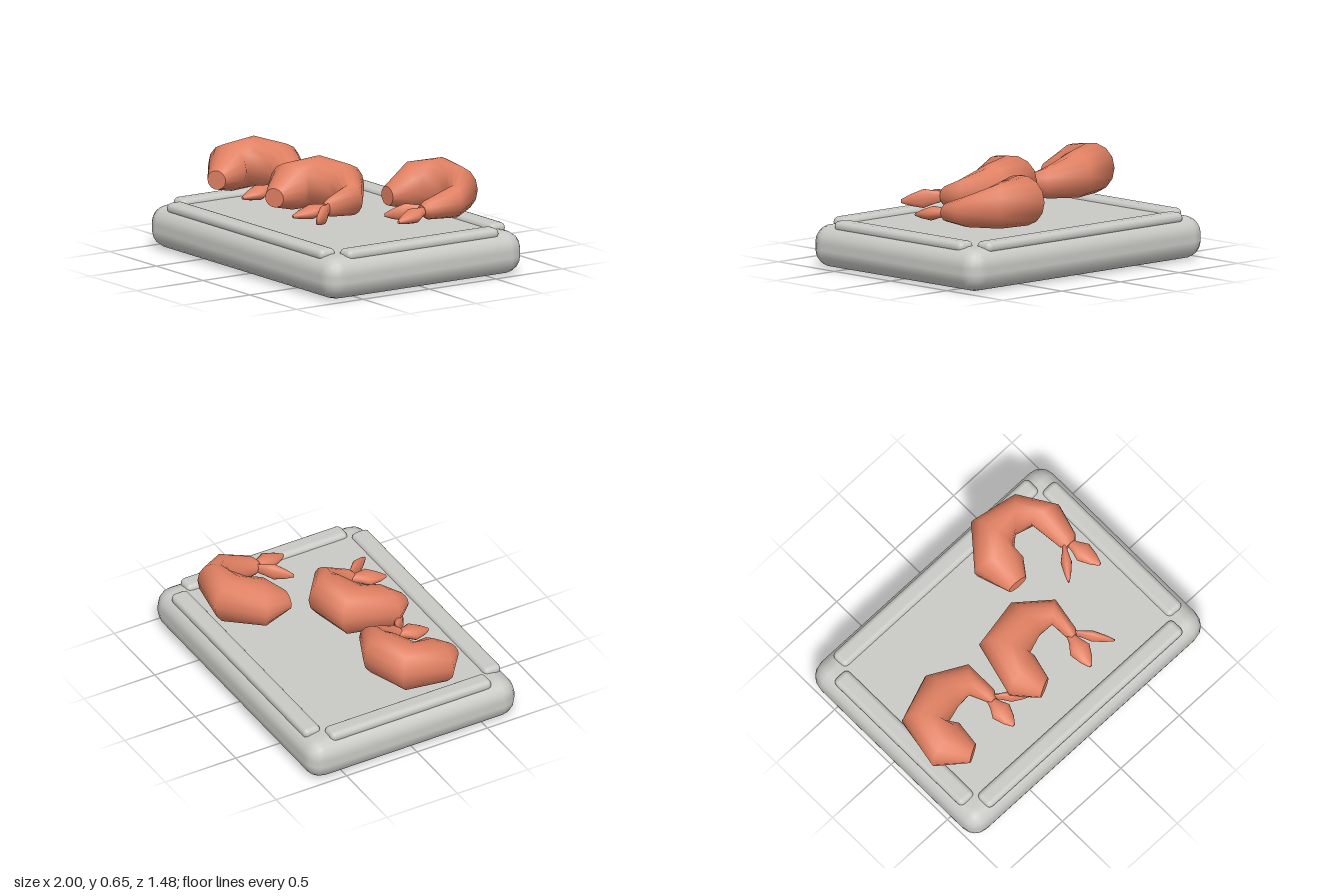
import * as THREE from 'three';
import { RoundedBoxGeometry } from 'three/addons/geometries/RoundedBoxGeometry.js';

const SIDES = 14;

// Skin elliptical rings; each ring is [outerX, outerZ, innerX, innerZ, bottomY, topY]
function loft(rings) {
  const point = r => {
    const x = (r[0] + r[2]) / 2, z = (r[1] + r[3]) / 2, y = (r[4] + r[5]) / 2;
    return [x, z, x, z, y, y];
  };
  const first = rings[0], last = rings[rings.length - 1];
  // doubled end rings keep the cap edges crisp
  const all = [point(first), first, ...rings, last, point(last)];
  const pos = [], index = [];
  all.forEach(([ox, oz, ix, iz, lo, hi], i) => {
    for (let j = 0; j < SIDES; j++) {
      const a = (j / SIDES) * Math.PI * 2, c = Math.cos(a) / 2, s = Math.sin(a) / 2;
      pos.push((ox + ix) / 2 + (ox - ix) * c, (lo + hi) / 2 + (hi - lo) * s, (oz + iz) / 2 + (oz - iz) * c);
      if (i === all.length - 1) continue;
      const k = (j + 1) % SIDES, p = i * SIDES, q = p + SIDES;
      index.push(p + j, p + k, q + k, p + j, q + k, q + j);
    }
  });
  const g = new THREE.BufferGeometry();
  g.setAttribute('position', new THREE.Float32BufferAttribute(pos, 3));
  g.setIndex(index);
  g.computeVertexNormals();
  return g;
}

// Leaf-shaped tail blade between two points on the plan
function finGeometry([x0, z0, x1, z1, width, height]) {
  const dx = x1 - x0, dz = z1 - z0, len = Math.hypot(dx, dz);
  const rings = [[0, 0.3, 0.5], [0.25, 0.55, 0.7], [0.5, 1, 1], [0.8, 0.6, 0.6], [1, 0.15, 0.2]].map(([t, w, h]) => {
    const x = x0 + dx * t, z = z0 + dz * t, y = 0.42 - 0.04 * t;
    const ox = (dz / len) * w * width / 2, oz = (-dx / len) * w * width / 2;
    return [x + ox, z + oz, x - ox, z - oz, y - h * height / 2, y + h * height / 2];
  });
  return loft(rings);
}

// Bottom and top heights from the head tip to the tail root
const HEIGHTS = [[0.37, 0.49], [0.33, 0.62], [0.335, 0.65], [0.34, 0.63], [0.35, 0.55], [0.36, 0.48], [0.39, 0.45]];

// Curled bodies: outer and inner plan points of every ring, and tail blades
const SHRIMPS = [
  {
    name: 'leftShrimp',
    body: [[-0.75, 0.44, -0.64, 0.38], [-0.94, 0.30, -0.63, 0.23], [-0.88, -0.03, -0.69, 0.18], [-0.58, -0.14, -0.56, 0.14],
      [-0.32, -0.02, -0.45, 0.12], [-0.31, 0.20, -0.40, 0.21], [-0.34, 0.25, -0.39, 0.25]],
    fins: [[-0.37, 0.21, -0.375, 0.44, 0.14, 0.09], [-0.35, 0.22, -0.17, 0.37, 0.06, 0.12]],
  },
  {
    name: 'middleShrimp',
    body: [[-0.14, 0.435, -0.02, 0.38], [-0.28, 0.30, 0.01, 0.23], [-0.19, -0.06, -0.01, 0.20], [0.13, -0.12, 0.13, 0.15],
      [0.36, 0.05, 0.24, 0.14], [0.33, 0.26, 0.25, 0.25], [0.31, 0.29, 0.26, 0.29]],
    fins: [[0.28, 0.25, 0.235, 0.49, 0.14, 0.09], [0.29, 0.25, 0.46, 0.47, 0.06, 0.12]],
  },
  {
    name: 'rightShrimp',
    body: [[0.20, -0.20, 0.34, -0.19], [0.12, -0.42, 0.41, -0.29], [0.33, -0.67, 0.40, -0.36], [0.65, -0.61, 0.48, -0.43],
      [0.81, -0.38, 0.60, -0.42], [0.76, -0.19, 0.63, -0.20], [0.73, -0.16, 0.65, -0.16]],
    fins: [[0.67, -0.20, 0.52, 0.00, 0.07, 0.11], [0.69, -0.20, 0.74, 0.05, 0.13, 0.09]],
  },
];

export function createModel() {
  const model = new THREE.Group();
  const grey = new THREE.MeshStandardMaterial({ color: 0xc9c9c5 });
  grey.name = 'tray grey';
  const coral = new THREE.MeshStandardMaterial({ color: 0xe08062 });
  coral.name = 'shrimp coral';

  const add = (parent, name, geometry, material) => {
    const mesh = new THREE.Mesh(geometry, material);
    mesh.name = name;
    parent.add(mesh);
    return mesh;
  };

  // Thick padded tray
  const tray = new THREE.Group();
  tray.name = 'tray';
  model.add(tray);
  add(tray, 'trayBase', new RoundedBoxGeometry(2, 0.27, 1.48, 2, 0.115), grey).position.y = 0.135;

  // Raised rim bars along the four edges
  for (const s of [-1, 1]) {
    const long = add(tray, s > 0 ? 'frontRim' : 'backRim', new RoundedBoxGeometry(1.67, 0.07, 0.12, 2, 0.034), grey);
    long.position.set(0, 0.267, 0.64 * s);
    const short = add(tray, s > 0 ? 'leftRim' : 'rightRim', new RoundedBoxGeometry(0.12, 0.07, 1.14, 2, 0.034), grey);
    short.position.set(0.89 * s, 0.267, 0);
  }

  // Three curled shrimps
  for (const { name, body, fins } of SHRIMPS) {
    const shrimp = new THREE.Group();
    shrimp.name = name;
    add(shrimp, 'body', loft(body.map((p, i) => [...p, ...HEIGHTS[i]])), coral);
    fins.forEach((f, i) => add(shrimp, `tailFin${i + 1}`, finGeometry(f), coral));
    model.add(shrimp);
  }
  return model;
}
